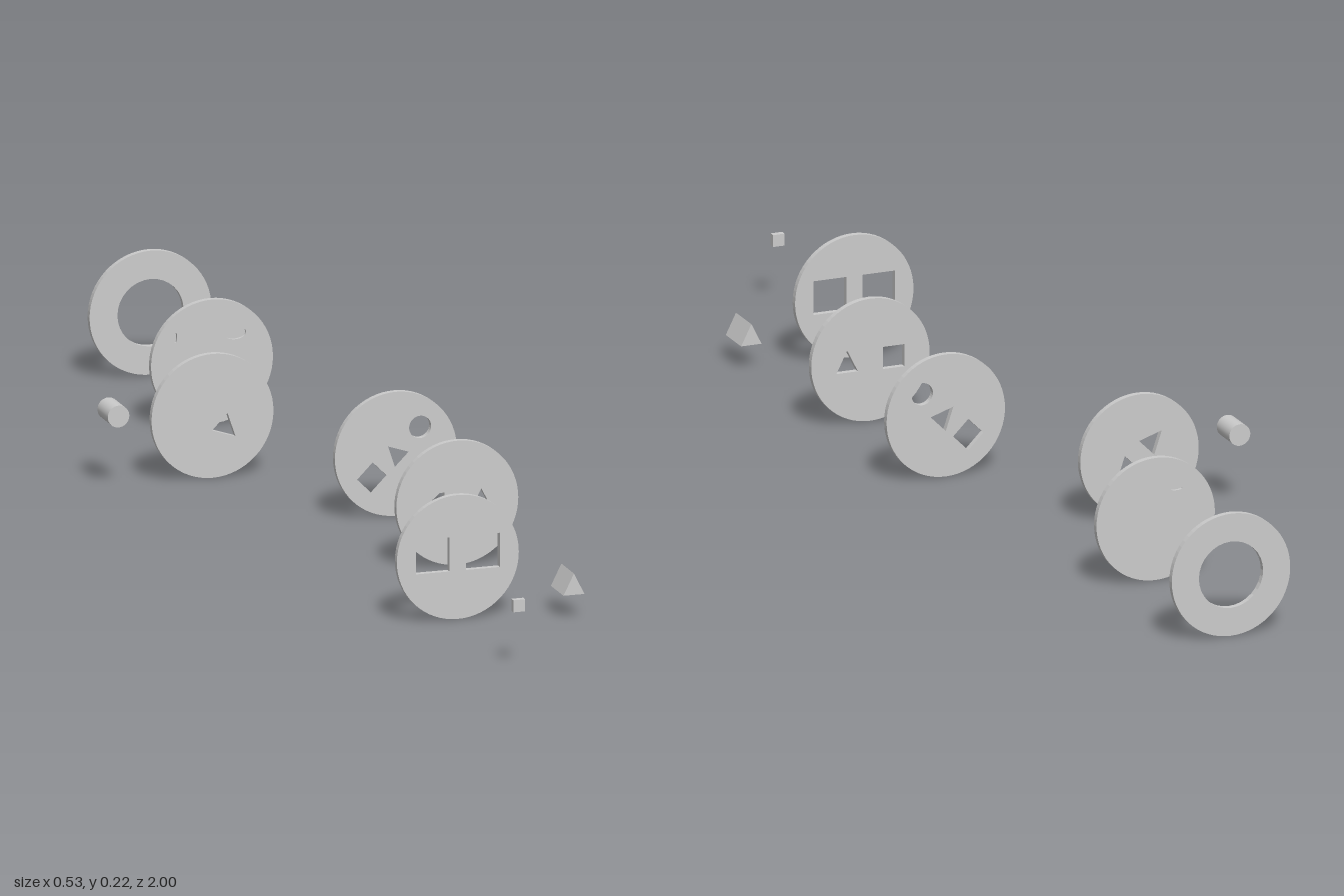
import * as THREE from 'three';

const R = 0.1105; // disc radius, also height of the disc centres
const T = 0.011; // disc thickness
const STEP = 0.3315; // spacing along z
const FRONT = 0.9945;
const material = new THREE.MeshStandardMaterial({ color: 0xcccccc });

// Closed outline from points, turned by angle and moved to (x, y)
function polygon(points, x, y, angle = 0) {
  const c = Math.cos(angle), s = Math.sin(angle);
  return points.map(([u, v]) => new THREE.Vector2(x + u * c - v * s, y + u * s + v * c));
}
const square = (x, y, size, angle) => {
  const h = size / 2;
  return polygon([[-h, -h], [h, -h], [h, h], [-h, h]], x, y, angle);
};
const triangle = (x, y, size, angle) => {
  const h = size / 2;
  return polygon([[-h, -h], [h, -h], [0, h]], x, y, angle);
};
const oval = (x, y, rx, ry, angle = 0) =>
  new THREE.EllipseCurve(x, y, rx, ry, 0, Math.PI * 2, false, angle).getPoints(32).slice(0, -1);

// Solid with an outline in xy, centred in z on its own origin
function slab(outline, holes, depth) {
  const shape = new THREE.Shape(outline);
  shape.holes = holes.map((points) => new THREE.Path(points));
  const geometry = new THREE.ExtrudeGeometry(shape, { depth, bevelEnabled: false, curveSegments: 64 });
  return geometry.translate(0, 0, -depth / 2);
}

function add(group, name, geometry, x, y, z) {
  const mesh = new THREE.Mesh(geometry, material);
  mesh.name = name;
  mesh.position.set(x, y, z);
  group.add(mesh);
  return mesh;
}

// Round plate with cut-outs placed relative to its centre
function addDisc(group, name, x, z, holes, depth = T) {
  const rim = new THREE.EllipseCurve(0, 0, R, R).getPoints(64).slice(0, -1);
  return add(group, name, slab(rim, holes, depth), x, R, z);
}

export function createModel() {
  const model = new THREE.Group();
  model.name = 'shapeDiscs';
  const z = (i) => FRONT - STEP * i;
  const mid = 0.0425, left = 0.153, right = -0.068;
  const q = Math.PI / 4;

  // Loose small block at the very front
  add(model, 'smallBlock', new THREE.BoxGeometry(0.0215, 0.0215, T), mid, R, FRONT);

  // Plates with through holes
  addDisc(model, 'twoSquareDisc', mid, z(1), [-1, 1].map((s) => square(s * 0.0455, 0.006, 0.061)));
  addDisc(model, 'squareAndTriangleDisc', left, z(2), [
    square(-0.0435, 0, 0.04),
    triangle(0.0435, 0.002, 0.04),
  ]);
  addDisc(model, 'threeHoleDisc', left, z(3), [
    square(-0.042, -0.04, 0.04, q),
    triangle(0, 0, 0.04, q),
    oval(0.044, 0.044, 0.02, 0.02),
  ]);
  addDisc(model, 'twoTriangleDisc', right, z(4), [
    triangle(-0.0275, 0.026, 0.04, q),
    triangle(0.0275, -0.026, 0.04, q + Math.PI),
  ]);

  // Plate with shallow recesses, made of a front and a back layer
  const recessed = new THREE.Group();
  recessed.name = 'recessedDisc';
  model.add(recessed);
  addDisc(recessed, 'frontLayer', mid, z(5) + T / 4, [
    oval(0.042, 0.047, 0.02, 0.011),
    oval(-0.066, 0.048, 0.003, 0.009),
  ], T / 2);
  addDisc(recessed, 'backLayer', mid, z(5) - T / 4, [oval(-0.039, 0.05, 0.011, 0.003)], T / 2);

  // Ring at the back
  addDisc(model, 'ring', mid, z(6), [oval(0, 0, 0.06, 0.06)]);

  // Loose pegs
  add(model, 'trianglePeg', slab(triangle(0, 0, 0.038), [], 0.068), 0.231, 0.0625, 0.7);
  const peg = new THREE.CylinderGeometry(0.0195, 0.0195, 0.056, 32).rotateX(Math.PI / 2);
  add(model, 'roundPeg', peg, -0.246, 0.131, -0.331);

  return model;
}
